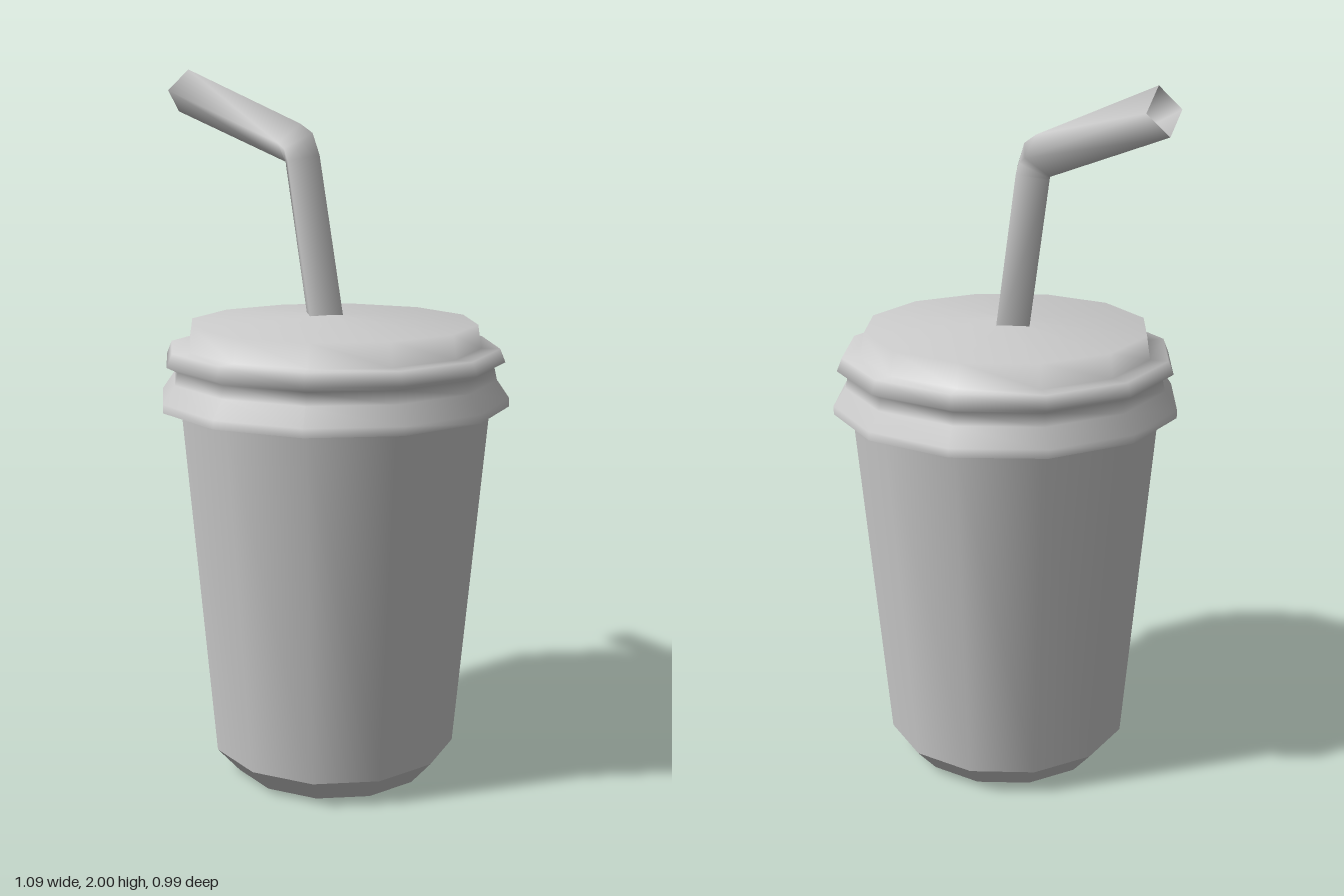
import * as THREE from 'three';

const SIDES = 12;
const material = new THREE.MeshStandardMaterial({ color: 0xcccccc, side: THREE.DoubleSide });

// Turned part from [radius, height] pairs, listed from bottom to top
function turned(name, profile) {
  const points = profile.map(([r, y]) => new THREE.Vector2(r, y));
  const mesh = new THREE.Mesh(new THREE.LatheGeometry(points, SIDES), material);
  mesh.name = name;
  return mesh;
}

// Bent four-sided tube; each ring is [outer x, outer y, inner x, inner y]
function bentStraw(rings, halfWidth) {
  const positions = [], index = [];
  rings.forEach(([ox, oy, ix, iy], i) => {
    const mx = (ox + ix) / 2, my = (oy + iy) / 2;
    positions.push(ox, oy, 0, mx, my, halfWidth, ix, iy, 0, mx, my, -halfWidth);
    if (i === rings.length - 1) return;
    for (let k = 0; k < 4; k++) {
      const a = i * 4 + k, b = i * 4 + (k + 1) % 4;
      index.push(a, a + 4, b, b, a + 4, b + 4);
    }
  });
  const geometry = new THREE.BufferGeometry();
  geometry.setAttribute('position', new THREE.Float32BufferAttribute(positions, 3));
  geometry.setIndex(index);
  geometry.computeVertexNormals();
  const mesh = new THREE.Mesh(geometry, material);
  mesh.name = 'straw';
  return mesh;
}

export function createModel() {
  const model = new THREE.Group();
  model.name = 'drinkCup';

  // Cup and lid share one axis, set off from the centre by the straw's overhang
  const cup = new THREE.Group();
  cup.name = 'cupWithLid';
  cup.position.x = 0.045;
  cup.add(
    turned('cupBase', [[0, 0], [0.29, 0]]),
    turned('cupChamfer', [[0.29, 0], [0.355, 0.074]]),
    turned('cupWall', [[0.355, 0.074], [0.443, 1.08]]),
    turned('lidUnderside', [[0.44, 1.076], [0.495, 1.076]]),
    // Flared skirt, groove, bead, ledge, raised rim and slightly domed top
    turned('lid', [
      [0.495, 1.076], [0.495, 1.1], [0.46, 1.15], [0.452, 1.185], [0.482, 1.2],
      [0.467, 1.237], [0.415, 1.237], [0.405, 1.303], [0, 1.325],
    ]),
  );
  model.add(cup);

  // Straw, rising through the lid and bending over to the right, open at the tip
  const straw = bentStraw([
    [0.09, 1.26, -0.042, 1.26],
    [-0.006, 1.76, -0.128, 1.73],
    [-0.031, 1.82, -0.128, 1.735],
    [-0.075, 1.845, -0.13, 1.74],
    [-0.503, 2, -0.545, 1.88],
  ], 0.065);
  straw.position.z = -0.003;
  model.add(straw);

  return model;
}
